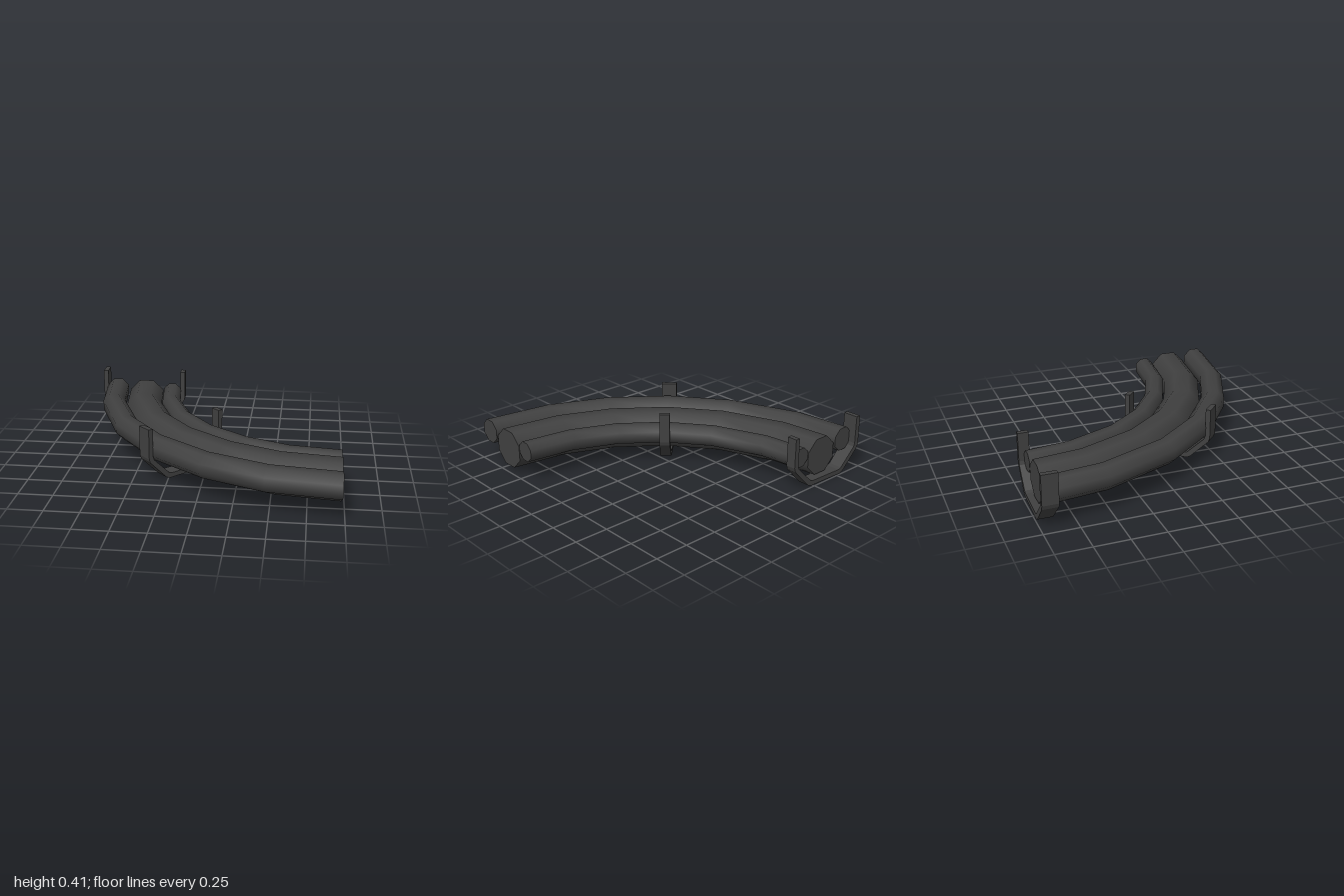
import * as THREE from 'three';

// All parts bend round one vertical axis at (CX, CZ)
const CX = 0.98, CZ = -0.938;
const BENDS = [0, 15.5, 30, 45, 60, 77, 90].map(THREE.MathUtils.degToRad);
const SIDES = 8;

// Radius r, height y and bend angle a to a point in space
const bend = (r, y, a) => new THREE.Vector3(CX - r * Math.sin(a), y, CZ + r * Math.cos(a));

const material = new THREE.MeshStandardMaterial({ color: 0x404040 });

// Eight-sided pipe with capped ends: a cylinder bent along the segments
function pipe(name, R, height, halfWidth) {
  const rad = halfWidth / Math.cos(Math.PI / SIDES);
  const n = BENDS.length - 1;
  const geo = new THREE.CylinderGeometry(rad, rad, 1, SIDES, n, false, Math.PI / SIDES);
  const pos = geo.attributes.position, nor = geo.attributes.normal;
  for (let i = 0; i < pos.count; i++) {
    const a = BENDS[Math.round((pos.getY(i) + 0.5) * n)];
    const p = bend(R + pos.getX(i), height - pos.getZ(i), a);
    const s = Math.sin(a), c = Math.cos(a);
    const nr = nor.getX(i), na = nor.getY(i);
    nor.setXYZ(i, -nr * s - na * c, -nor.getZ(i), nr * c - na * s);
    pos.setXYZ(i, p.x, p.y, p.z);
  }
  const mesh = new THREE.Mesh(geo, material);
  mesh.name = name;
  return mesh;
}

// U-shaped strap with slanted lower corners, wider on the outside of the bend
function bracket(name, angle) {
  const mid = 1.62;
  const outer = [[0.34, 0.41], [0.34, 0.19], [0.33, 0.16], [0.19, 0.015], [0.16, 0]];
  const inner = [[0.14, 0.035], [0.165, 0.045], [0.295, 0.175], [0.303, 0.2], [0.303, 0.41]];
  const mirror = list => list.map(([x, y]) => [-x, y]).reverse();
  const outline = [...outer, ...mirror(outer), ...mirror(inner), ...inner];
  // Clockwise order as listed; the shape is reoriented by the extrusion
  const shape = new THREE.Shape(outline.map(([x, y]) => new THREE.Vector2(mid + x, y)));
  const geo = new THREE.ExtrudeGeometry(shape, { depth: 1, bevelEnabled: false });
  const pos = geo.attributes.position;
  for (let i = 0; i < pos.count; i++) {
    const a = angle + (pos.getZ(i) - 0.5) * 0.059;
    const p = bend(pos.getX(i), pos.getY(i), a);
    pos.setXYZ(i, p.x, p.y, p.z);
  }
  geo.computeVertexNormals();
  const mesh = new THREE.Mesh(geo, material);
  mesh.name = name;
  return mesh;
}

export function createModel() {
  const group = new THREE.Group();
  group.name = 'pipeBend';
  group.add(
    pipe('outerPipe', 1.848, 0.24, 0.086),
    pipe('mainPipe', 1.605, 0.182, 0.138),
    pipe('innerPipe', 1.388, 0.227, 0.071),
    bracket('middleBracket', Math.PI / 4),
    bracket('endBracket', Math.PI / 2)
  );
  return group;
}
